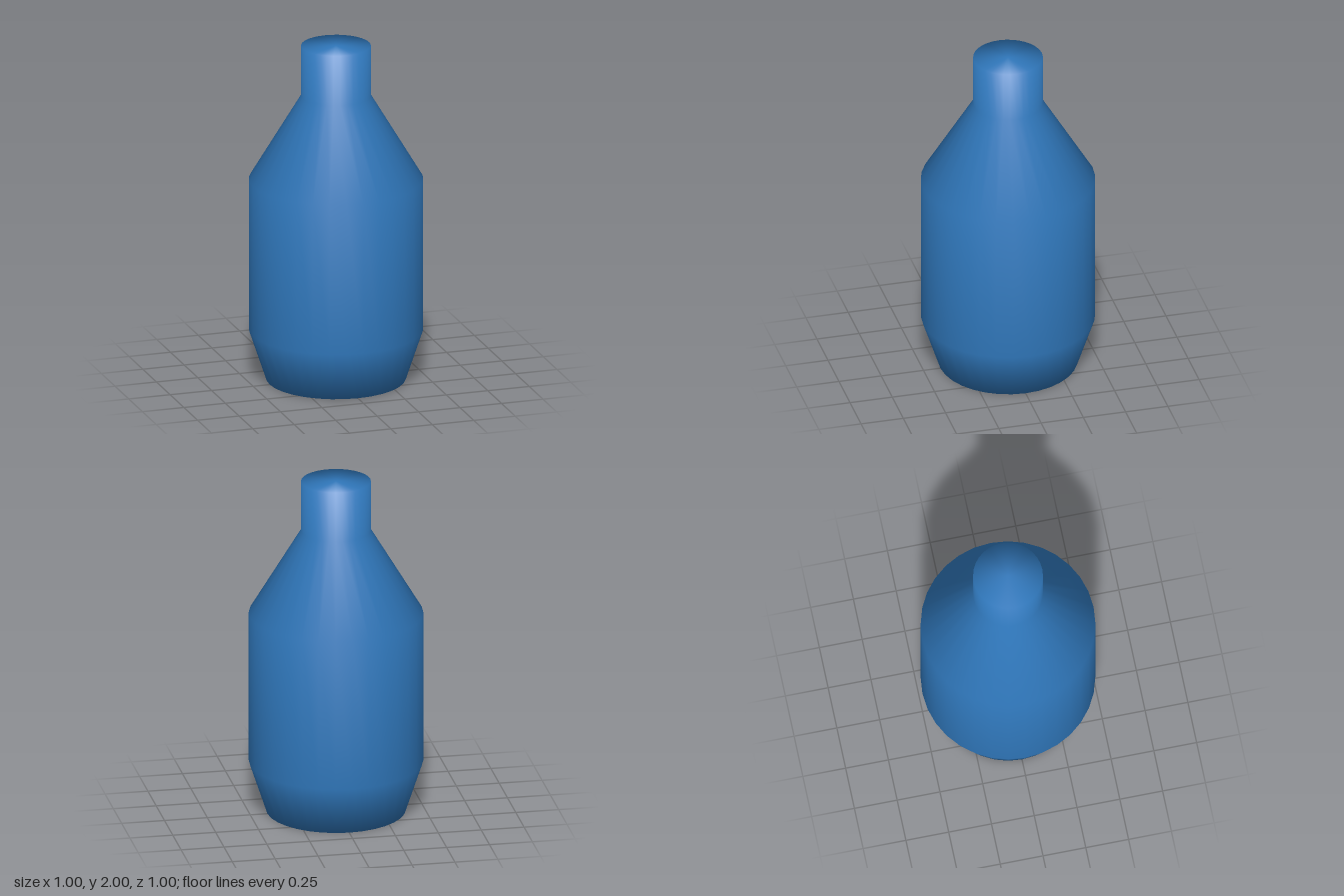
import * as THREE from 'three';

export function createModel() {
  const group = new THREE.Group();
  group.name = 'bottle';

  const blue = new THREE.MeshStandardMaterial({ color: 0x3078bc });
  blue.name = 'blue';

  // Closed profile from base centre to mouth centre: base, taper, body, shoulder, neck, cap
  const profile = [
    [0, 0], [0.4, 0], [0.5, 0.3], [0.5, 1.2], [0.2, 1.7], [0.2, 2], [0, 2],
  ].map(([r, y]) => new THREE.Vector2(r, y));

  const geometry = new THREE.LatheGeometry(profile, 32);
  geometry.normalizeNormals();

  const body = new THREE.Mesh(geometry, blue);
  body.name = 'bottleBody';
  group.add(body);
  return group;
}
